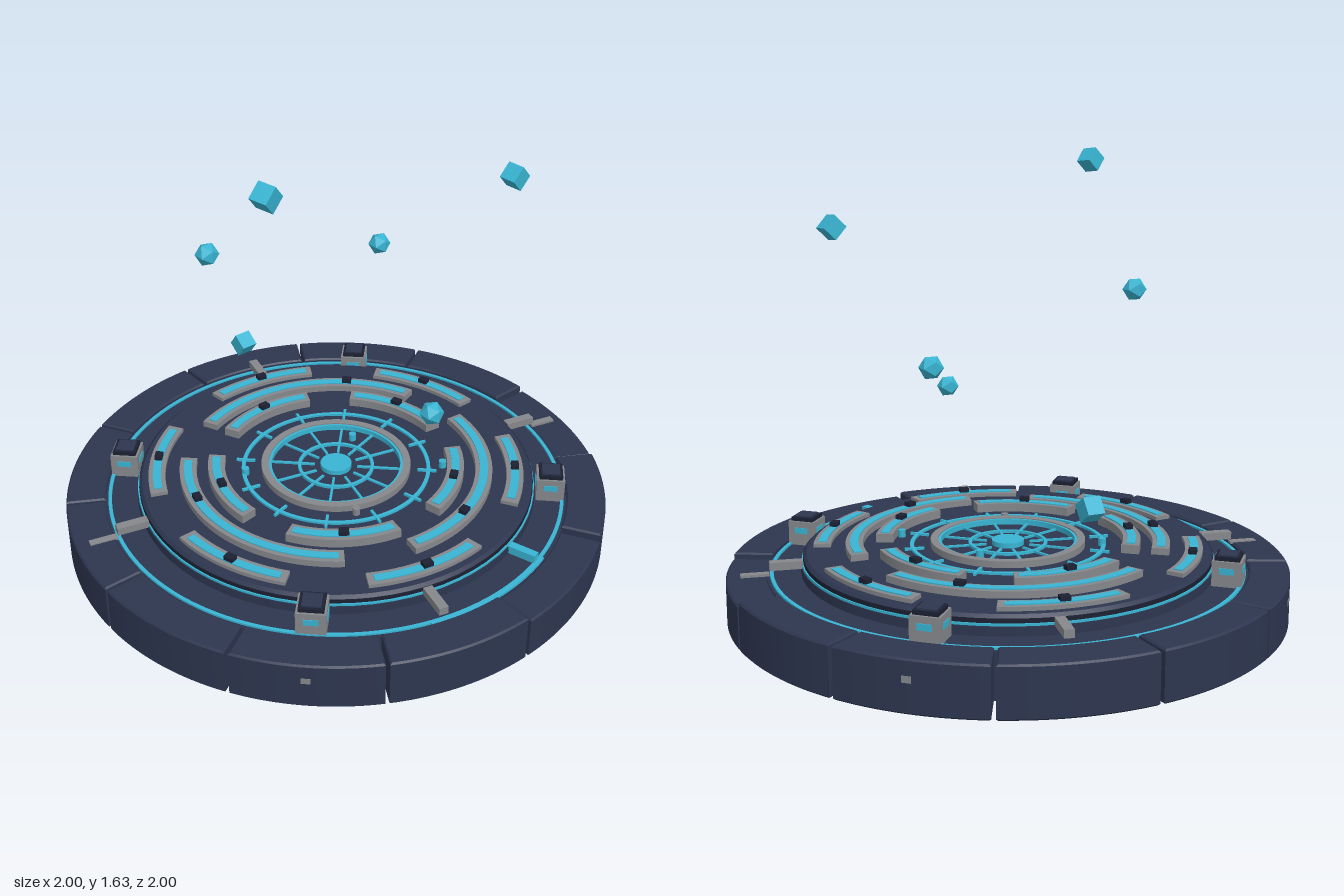
import * as THREE from 'three';
import { toCreasedNormals } from 'three/addons/utils/BufferGeometryUtils.js';

const mat = (name, color) => Object.assign(new THREE.MeshStandardMaterial({ color }), { name });
const RAD = Math.PI / 180;

export function createModel() {
  const model = new THREE.Group();
  model.name = 'hoverPlatform';
  const navy = mat('navy metal', 0x2d3650);
  const dark = mat('dark trim', 0x1b2032);
  const grey = mat('grey metal', 0x85878b);
  const cyan = mat('cyan glow', 0x38b4d2);

  function add(name, geometry, material, parent = model) {
    const mesh = new THREE.Mesh(geometry, material);
    mesh.name = name;
    parent.add(mesh);
    return mesh;
  }

  // Stands a flat plan shape up between heights y0 and y1
  function raise(shape, y0, y1, segments, bevel = 0) {
    const g = new THREE.ExtrudeGeometry(shape, {
      depth: y1 - y0 - 2 * bevel, curveSegments: segments, bevelEnabled: bevel > 0,
      bevelThickness: bevel, bevelSize: bevel, bevelOffset: -bevel, bevelSegments: 1,
    });
    g.rotateX(Math.PI / 2).translate(0, y1 - bevel, 0);
    return toCreasedNormals(g, 0.5);
  }

  // Curved block between two radii, angles in degrees from +x towards +z
  function sector(name, r0, r1, a0, a1, y0, y1, material, bevel = 0) {
    const s = new THREE.Shape();
    s.absarc(0, 0, r1, a0 * RAD, a1 * RAD, false);
    s.absarc(0, 0, r0, a1 * RAD, a0 * RAD, true);
    s.closePath();
    return add(name, raise(s, y0, y1, Math.max(8, Math.ceil((a1 - a0) / 3)), bevel), material);
  }

  function ring(name, r0, r1, y0, y1, material) {
    const s = new THREE.Shape().absarc(0, 0, r1, 0, Math.PI * 2, false);
    s.holes.push(new THREE.Path().absarc(0, 0, r0, 0, Math.PI * 2, true));
    return add(name, raise(s, y0, y1, 72), material);
  }

  function disc(name, r0, r1, y0, y1, material) {
    const g = new THREE.CylinderGeometry(r1, r0, y1 - y0, 72).translate(0, (y0 + y1) / 2, 0);
    return add(name, g, material);
  }

  // Box whose length runs outwards between two radii
  function radialBox(name, r0, r1, angle, width, y0, y1, material) {
    const g = new THREE.BoxGeometry(r1 - r0, y1 - y0, width).translate((r0 + r1) / 2, (y0 + y1) / 2, 0);
    const mesh = add(name, g, material);
    mesh.rotation.y = -angle * RAD;
    return mesh;
  }

  // Base and the twelve outer wall segments, two of them lower
  disc('baseDisc', 0.86, 0.86, 0.002, 0.16, navy);
  for (let i = 0; i < 12; i++) {
    const low = i === 0 || i === 2;
    sector('rimSegment', 0.857, 1, i * 30 + 0.4, i * 30 + 29.6, 0, low ? 0.158 : 0.175, navy, 0.006);
  }
  for (let i = 0; i < 4; i++) radialBox('rimPort', 0.98, 1.001, 45 + i * 90, 0.032, 0.1, 0.122, grey);

  // Walkway light ring and raised dais
  ring('walkwayLight', 0.835, 0.848, 0.158, 0.167, cyan);
  sector('frontWalkwayLight', 0.846, 0.856, 72, 108, 0.16, 0.168, cyan);
  disc('daisFoot', 0.74, 0.74, 0.155, 0.192, navy);
  disc('daisLight', 0.737, 0.737, 0.192, 0.2, cyan);
  disc('daisEdge', 0.732, 0.732, 0.2, 0.215, dark);
  disc('dais', 0.73, 0.72, 0.215, 0.226, navy);

  // Struts bridging the walkway
  [-75, 15, 105, 195].forEach((a) => radialBox('strut', 0.735, 0.85, a, 0.034, 0.19, 0.218, grey));
  radialBox('glowStrut', 0.735, 0.84, 74, 0.03, 0.165, 0.195, cyan);
  [15, 195].forEach((a) => radialBox('rimStrip', 0.85, 0.95, a, 0.028, 0.17, 0.179, grey));

  // Concentric sets of grey arcs with light strips and dark studs
  const arcSets = [
    { r: 0.445, count: 5, start: -90, span: 50, top: 0.258, stud: 0 },
    { r: 0.55, count: 3, start: -66, span: 95, top: 0.25, stud: 20 },
    { r: 0.665, count: 6, start: -78, span: 37, top: 0.24, stud: 0 },
  ];
  for (const { r, count, start, span, top, stud } of arcSets) {
    for (let i = 0; i < count; i++) {
      const c = start + (i * 360) / count;
      sector('arcPlate', r - 0.031, r + 0.031, c - span / 2, c + span / 2, 0.222, top, grey);
      sector('arcLight', r - 0.015, r + 0.015, c - span / 2 + 2, c + span / 2 - 2, top - 0.004, top + 0.004, cyan);
      radialBox('arcStud', r - 0.014, r + 0.014, c + stud, 0.036, top, top + 0.02, dark);
    }
  }

  // Central emblem of rings, spokes and hub
  ring('outerLightRing', 0.338, 0.352, 0.224, 0.234, cyan);
  ring('hubRing', 0.25, 0.278, 0.224, 0.25, grey);
  ring('hubRingLight', 0.24, 0.25, 0.224, 0.246, cyan);
  ring('innerLightRing', 0.13, 0.142, 0.224, 0.236, cyan);
  disc('hub', 0.058, 0.058, 0.224, 0.244, cyan);
  for (let i = 0; i < 12; i++) {
    const a = 15 + i * 30;
    radialBox('innerSpoke', 0.08, 0.24, a, 0.009, 0.224, 0.233, cyan);
    radialBox('outerSpoke', 0.305, 0.375, a, 0.01, 0.224, 0.235, cyan);
  }
  for (const [x, z, m] of [[0.16, -0.095, cyan], [-0.29, -0.175, cyan], [0.305, 0.255, cyan], [-0.127, 0.268, grey]]) {
    add('smallNode', new THREE.CylinderGeometry(0.014, 0.014, 0.03, 12), m).position.set(x, 0.238, z);
  }

  // Four corner pods with framed caps
  for (let i = 0; i < 4; i++) {
    const a = (45 + i * 90) * RAD;
    const pod = new THREE.Group();
    pod.name = 'cornerPod';
    pod.position.set(0.795 * Math.cos(a), 0, 0.795 * Math.sin(a));
    pod.rotation.y = -a;
    model.add(pod);
    add('podBody', new THREE.BoxGeometry(0.102, 0.09, 0.102).translate(0, 0.205, 0), grey, pod);
    add('podLight', new THREE.BoxGeometry(0.108, 0.022, 0.05).translate(0, 0.216, 0), cyan, pod);
    add('podLight', new THREE.BoxGeometry(0.05, 0.022, 0.108).translate(0, 0.216, 0), cyan, pod);
    add('podCap', new THREE.BoxGeometry(0.086, 0.014, 0.086).translate(0, 0.257, 0), dark, pod);
    add('podCapPanel', new THREE.BoxGeometry(0.066, 0.006, 0.066).translate(0, 0.266, 0), navy, pod);
  }

  // Floating crystals and cubes
  for (const p of [[-0.38, 1.15, -0.22], [0.4, 0.94, -0.23], [0, 0.72, 0.5]]) {
    add('floatingCrystal', new THREE.IcosahedronGeometry(0.042, 0), cyan).position.set(...p);
  }
  const cubes = [
    [[-0.51, 1.58, 0.3], [0.1, 0.3, 0.7]],
    [[0.53, 1.36, 0.31], [0.05, 0.1, 0.75]],
    [[0, 0.5, -0.57], [0.65, 0, 0.02]],
  ];
  for (const [p, r] of cubes) {
    const cube = add('floatingCube', new THREE.BoxGeometry(0.062, 0.062, 0.062), cyan);
    cube.position.set(...p);
    cube.rotation.set(...r);
  }
  return model;
}
